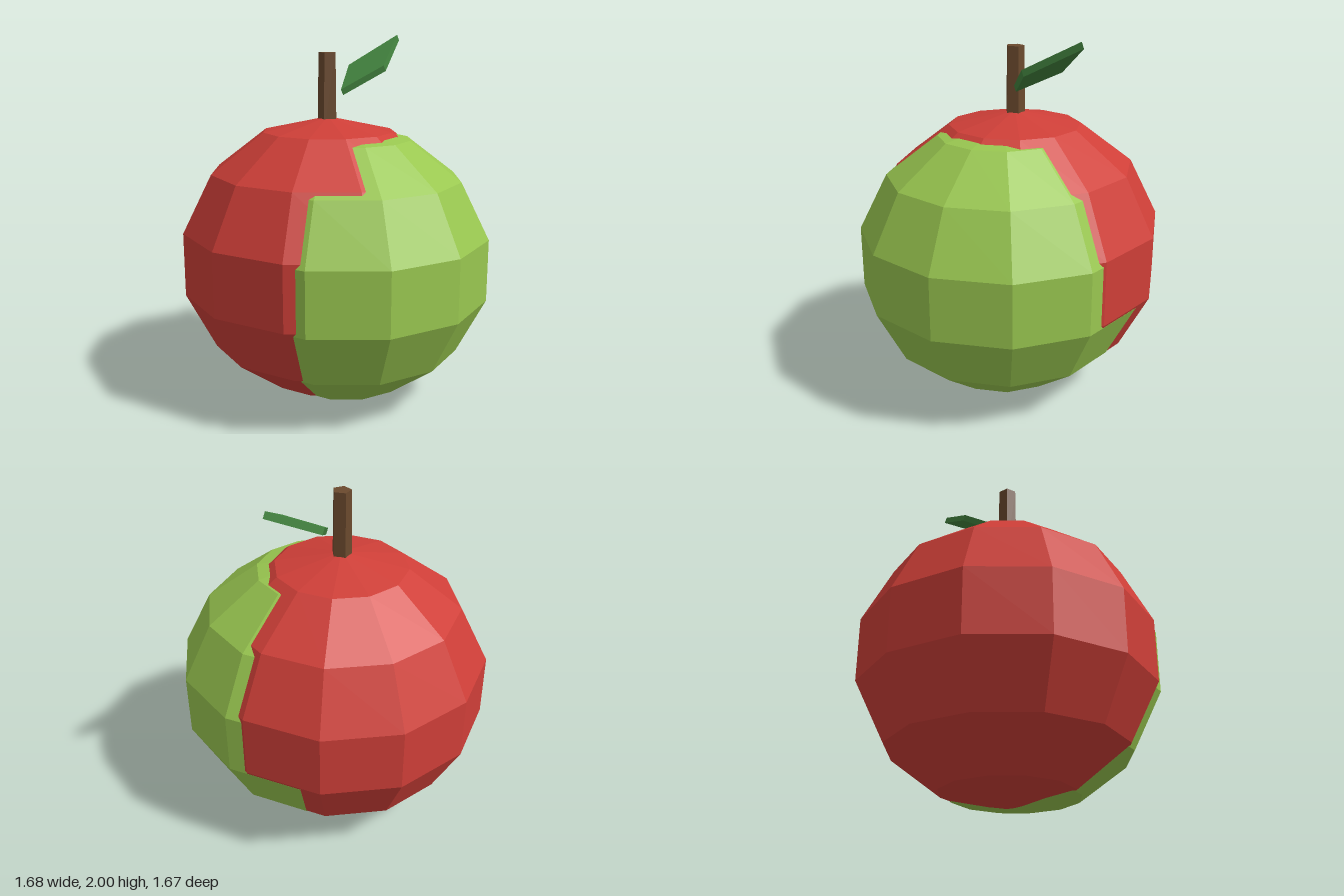
import * as THREE from 'three';

const paint = (name, color) => {
  const m = new THREE.MeshStandardMaterial({ color, flatShading: true });
  m.name = name;
  return m;
};

export function createModel() {
  const group = new THREE.Group();
  group.name = 'apple';
  const add = (name, geometry, material, x = 0, y = 0, z = 0) => {
    const mesh = new THREE.Mesh(geometry, material);
    mesh.name = name;
    mesh.position.set(x, y, z);
    group.add(mesh);
    return mesh;
  };

  // Two slightly squashed, overlapping low-poly balls form the two-tone fruit
  const squash = 0.947;
  const ball = (r) => new THREE.SphereGeometry(r, 12, 7).scale(1, squash, 1);
  add('redFlesh', ball(0.83), paint('red skin', 0xcf3f38), -0.036, 0.79, -0.03);
  add('greenFlesh', ball(0.81), paint('green skin', 0x99c750), 0.05, 0.769, 0.04);

  // Five-sided stem, sunk into the crown
  const stem = new THREE.CylinderGeometry(0.05, 0.056, 0.42, 5).rotateY(Math.PI);
  add('stem', stem, paint('brown bark', 0x6b4a2e), -0.036, 1.71, -0.03);

  // Leaf: a flat kite, extruded along the normal of its tilted plane
  const root = new THREE.Vector3(0.035, 1.72, -0.02);
  const u = new THREE.Vector3(0.25, 0.125, -0.02);
  const v = new THREE.Vector3(0.11, 0.12, -0.23);
  const n = new THREE.Vector3().crossVectors(u, v).normalize();
  const kite = new THREE.Shape([[0, 0], [1, 0], [1.17, 1.16], [0, 1]]
    .map(([a, b]) => new THREE.Vector2(a, b)));
  const thickness = 0.036;
  const leaf = new THREE.ExtrudeGeometry(kite, { depth: thickness, bevelEnabled: false });
  leaf.applyMatrix4(new THREE.Matrix4().makeBasis(u, v, n)
    .setPosition(root.addScaledVector(n, -thickness)));
  add('leaf', leaf, paint('leaf green', 0x43843f));

  return group;
}
